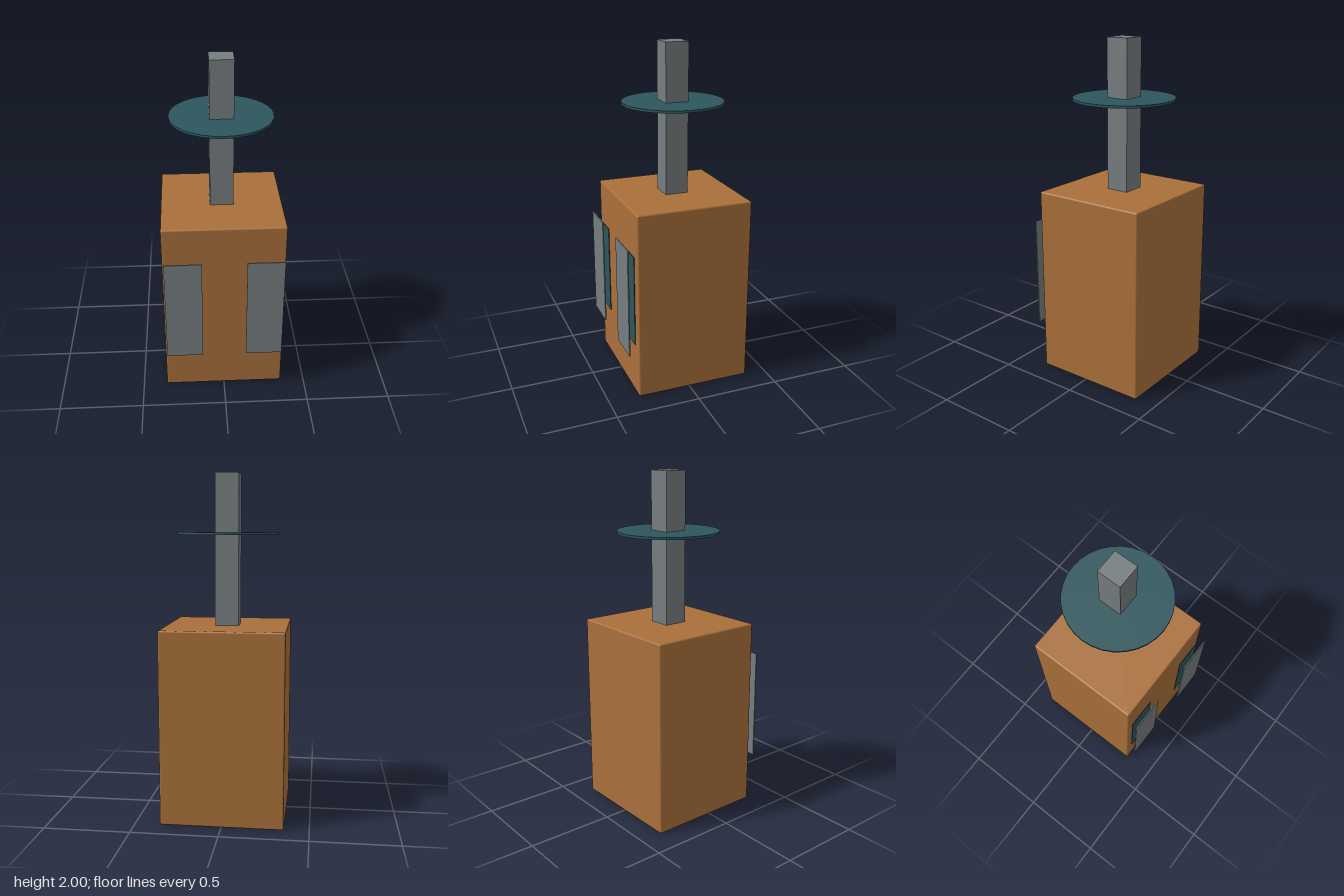
import * as THREE from 'three';
import { RoundedBoxGeometry } from 'three/addons/geometries/RoundedBoxGeometry.js';

const material = (name, color) => {
  const m = new THREE.MeshStandardMaterial({ color });
  m.name = name;
  return m;
};

export function createModel() {
  const model = new THREE.Group();
  model.name = 'cabinetWithPost';
  const orange = material('warm brown', 0xaa703b);
  const grey = material('steel grey', 0x777e80);
  const teal = material('dark teal', 0x2d565d);
  const axisZ = -0.028;

  const add = (name, geometry, mat, x, y, z) => {
    const mesh = new THREE.Mesh(geometry, mat);
    mesh.name = name;
    mesh.position.set(x, y, z);
    model.add(mesh);
    return mesh;
  };

  // Main body with slightly softened edges
  add('body', new RoundedBoxGeometry(0.71, 1.126, 0.69, 2, 0.01), orange, 0, 0.563, axisZ);

  // Square post and the disc around it
  add('post', new THREE.BoxGeometry(0.137, 0.88, 0.137), grey, 0, 1.56, axisZ);
  add('disc', new THREE.CylinderGeometry(0.296, 0.296, 0.014, 32), teal, 0, 1.657, axisZ);

  // Mirrored front panels, each with a smaller plate behind it
  for (const [side, s] of [['left', 1], ['right', -1]]) {
    add(side + 'Panel', new THREE.BoxGeometry(0.216, 0.655, 0.007), grey, s * 0.237, 0.602, 0.3685);
    add(side + 'BackPlate', new THREE.BoxGeometry(0.177, 0.545, 0.004), teal, s * 0.237, 0.602, 0.328);
  }
  return model;
}
